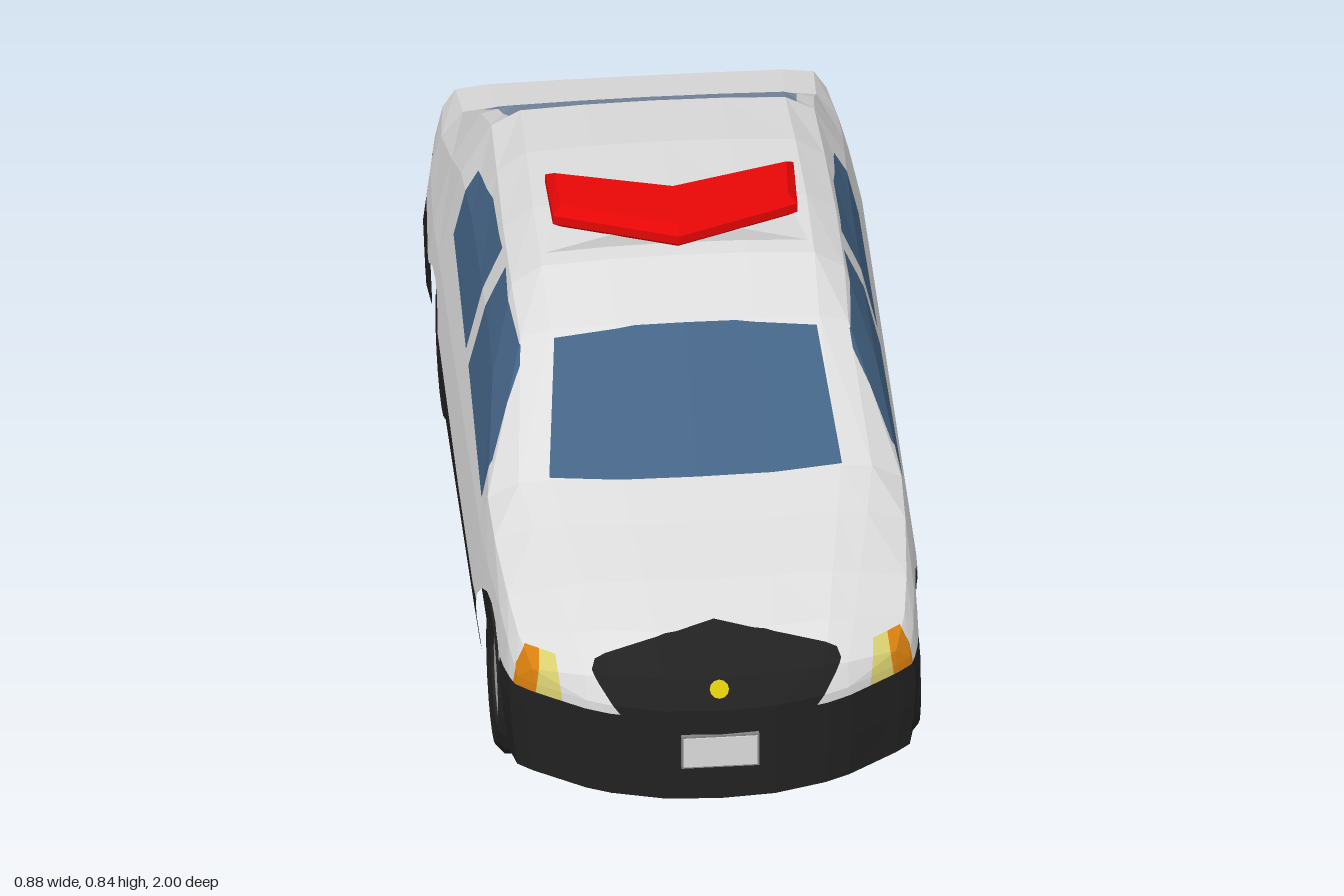
import * as THREE from 'three';

// Lengthwise stations, front to back:
// z, bow (how far the sides sweep back), width scale, sill y, shoulder x, y, edge x, y, centre y
const STATIONS = [
  [0.955, 0.14, 0.915, 0.11, 0.36, 0.35, 0.26, 0.365, 0.375],
  [0.87, 0.1, 0.945, 0.11, 0.383, 0.39, 0.28, 0.415, 0.43],
  [0.74, 0.05, 0.965, 0.11, 0.395, 0.415, 0.3, 0.445, 0.462],
  [0.58, 0.05, 0.99, 0.11, 0.407, 0.44, 0.33, 0.473, 0.488],
  [0.46, 0.05, 1, 0.11, 0.41, 0.455, 0.35, 0.497, 0.513],
  [0.2, 0.03, 1, 0.11, 0.38, 0.58, 0.325, 0.675, 0.705],
  [0.04, 0, 1, 0.11, 0.375, 0.6, 0.33, 0.705, 0.755],
  [-0.15, 0, 1, 0.115, 0.375, 0.6, 0.33, 0.71, 0.765],
  [-0.35, 0, 1, 0.115, 0.375, 0.6, 0.325, 0.705, 0.757],
  [-0.53, 0, 1, 0.125, 0.38, 0.58, 0.32, 0.69, 0.73],
  [-0.65, 0, 1, 0.14, 0.388, 0.53, 0.33, 0.635, 0.655],
  [-0.83, 0, 0.975, 0.16, 0.393, 0.46, 0.35, 0.515, 0.525],
  [-0.945, 0, 0.93, 0.175, 0.38, 0.45, 0.355, 0.49, 0.5],
];
const FRONT_AXLE = [0.615, 0.166], REAR_AXLE = [-0.53, 0.154];

const sweep = (z, bow, x) => z - bow * Math.pow(x / 0.42, 2.5);

// Half cross-section from the sill up to the centre line
function section([z, bow, w, sill, sx, sy, ex, ey, top]) {
  return [
    [0.425 * w, sill], [0.437 * w, 0.2], [0.44 * w, 0.26], [0.425 * w, Math.min(0.38, sy - 0.03)],
    [sx, sy], [ex, ey], [ex * 0.82, top - (top - ey) * 0.2], [ex * 0.42, top - (top - ey) * 0.05], [0, top],
  ].map(([x, y]) => new THREE.Vector3(x, y, sweep(z, bow, x)));
}

// Wheel arch outline, open towards the ground
function arch([z, y]) {
  const pts = [[z + 0.168, -0.1]];
  for (let i = 0; i <= 10; i++) {
    const a = (i / 10) * Math.PI;
    pts.push([z + 0.17 * Math.cos(a), y + 0.006 + 0.17 * Math.sin(a)]);
  }
  return [...pts, [z - 0.168, -0.1]];
}

// Convex areas of the half shell, projected along one axis; part null is an opening
const nose = (n, c) => c.z > 0.7;
const tail = (n, c) => c.z < -0.9 && n.z < -0.5;
const side = (n) => n.x > 0.4;
const any = () => true;
const REGIONS = [
  [null, 'zy', any, arch(FRONT_AXLE)],
  [null, 'zy', any, arch(REAR_AXLE)],
  ['frontSideWindow', 'zy', side, [[0.355, 0.415], [0.35, 0.5], [0.21, 0.665], [-0.035, 0.695], [-0.045, 0.455]]],
  ['rearSideWindow', 'zy', side, [[-0.1, 0.455], [-0.1, 0.695], [-0.29, 0.68], [-0.455, 0.635], [-0.455, 0.485]]],
  ['windscreen', 'xy', (n, c) => n.z > 0.3 && c.z < 0.6, [[-0.1, 0.512], [0.29, 0.512], [0.26, 0.687], [0.1, 0.703], [-0.1, 0.706]]],
  ['rearWindow', 'xz', (n) => n.y > 0.4, [[-0.1, -0.53], [0.285, -0.535], [0.31, -0.805], [-0.1, -0.805]]],
  ['grille', 'xy', nose, [[-0.1, 0.3], [0.195, 0.3], [0.235, 0.355], [0.247, 0.375], [0.24, 0.39], [0.22, 0.4], [0.1, 0.427], [0, 0.437], [-0.1, 0.437]]],
  ['headlight', 'xy', nose, [[0.305, 0.3], [0.355, 0.3], [0.345, 0.38], [0.315, 0.38]]],
  ['turnSignal', 'xy', nose, [[0.355, 0.3], [0.396, 0.3], [0.39, 0.34], [0.372, 0.38], [0.345, 0.38]]],
  ['tailLampLower', 'xy', tail, [[0.29, 0.335], [0.358, 0.335], [0.355, 0.41], [0.318, 0.4]]],
  ['tailLamp', 'xy', tail, [[0.24, 0.335], [0.372, 0.335], [0.368, 0.42], [0.358, 0.458], [0.3, 0.45], [0.255, 0.4]]],
  ['frontBumper', 'zy', any, [[0.74, 0], [0.74, 0.3], [1.2, 0.3], [1.2, 0]]],
  ['sillPanel', 'zy', any, [[0.5, 0], [0.5, 0.243], [-0.45, 0.283], [-0.45, 0]]],
  ['rearQuarterLower', 'zy', any, [[-0.62, 0], [-0.62, 0.295], [-1.1, 0.342], [-1.1, 0]]],
];

// Splits a polygon by a signed distance function
function cut(poly, dist) {
  const inside = [], outside = [];
  poly.forEach((p, i) => {
    const q = poly[(i + 1) % poly.length], a = dist(p), b = dist(q);
    if (a >= 0) inside.push(p);
    if (a <= 0) outside.push(p);
    if (a * b < 0) {
      const m = p.clone().lerp(q, a / (a - b));
      inside.push(m);
      outside.push(m);
    }
  });
  return [inside, outside];
}

// Divides one triangle among the regions and stores the pieces, mirrored, by part
function paint(a, b, c, parts) {
  const n = b.clone().sub(a).cross(c.clone().sub(a));
  if (n.length() < 1e-8) return;
  n.normalize();
  const mid = a.clone().add(b).add(c).divideScalar(3);
  const emit = (poly, part) => {
    if (!part) return;
    const out = (parts[part] ??= []);
    for (let i = 1; i < poly.length - 1; i++) {
      const t = [poly[0], poly[i], poly[i + 1]];
      for (const p of t) out.push(p.x, p.y, p.z);
      for (const p of t.reverse()) out.push(-p.x, p.y, p.z);
    }
  };
  let rest = [[a, b, c]];
  for (const [part, [u, v], when, pts] of REGIONS) {
    if (!when(n, mid)) continue;
    const sign = THREE.ShapeUtils.area(pts.map(([x, y]) => new THREE.Vector2(x, y))) > 0 ? 1 : -1;
    const next = [];
    for (const poly of rest) {
      let inner = poly;
      const pieces = [];
      for (let i = 0; i < pts.length && inner.length > 2; i++) {
        const [p, q] = [pts[i], pts[(i + 1) % pts.length]];
        const [inn, out] = cut(inner, (k) => sign * ((q[0] - p[0]) * (k[v] - p[1]) - (q[1] - p[1]) * (k[u] - p[0])));
        inner = inn;
        if (out.length > 2) pieces.push(out);
      }
      if (inner.length > 2) {
        emit(inner, part);
        next.push(...pieces);
      } else next.push(poly);
    }
    rest = next;
  }
  rest.forEach((poly) => emit(poly, 'bodyShell'));
}

function shellParts() {
  const parts = {};
  const quad = (a, b, c, d) => { paint(a, b, c, parts); paint(a, c, d, parts); };
  const rings = STATIONS.map(section);
  const last = rings[0].length - 1;
  for (let i = 0; i < rings.length - 1; i++)
    for (let j = 0; j < last; j++) quad(rings[i][j], rings[i + 1][j], rings[i + 1][j + 1], rings[i][j + 1]);
  // End faces: columns dropped from the upper rim, bulging along z
  const cap = (k, bulge, front) => {
    const ring = rings[k], [z, bow] = STATIONS[k];
    const at = (r, j) => {
      if (r === 4) return ring[j];
      const f = ring[j].x / ring[3].x, x = ring[r].x * f;
      return new THREE.Vector3(x, ring[r].y, sweep(z, bow, x) + bulge * (1 - f * f));
    };
    for (let r = 0; r < 4; r++)
      for (let j = 3; j < last; j++) {
        const q = [at(r, j), at(r, j + 1), at(r + 1, j + 1), at(r + 1, j)];
        quad(...(front ? q.reverse() : q));
      }
  };
  cap(0, 0.038, true);
  cap(rings.length - 1, -0.025, false);
  return parts;
}

export function createModel() {
  const car = new THREE.Group();
  car.name = 'patrolCar';
  const mat = {};
  for (const [name, color] of Object.entries({
    white: 0xdddddd, black: 0x212121, glassBlue: 0x446486, rearGlass: 0x8295ad, red: 0xe60606,
    orange: 0xd9800f, paleYellow: 0xd9d070, yellow: 0xd6c60c, grey: 0x858585, plateGrey: 0xdadada,
  })) {
    mat[name] = new THREE.MeshStandardMaterial({ color, side: THREE.DoubleSide });
    mat[name].name = name;
  }
  const add = (name, geo, m, x = 0, y = 0, z = 0, parent = car) => {
    const mesh = new THREE.Mesh(geo, mat[m]);
    mesh.name = name;
    mesh.position.set(x, y, z);
    parent.add(mesh);
    return mesh;
  };
  const box = (w, h, d) => new THREE.BoxGeometry(w, h, d);
  const extrude = (pts, depth, bevel = { bevelEnabled: false }) =>
    new THREE.ExtrudeGeometry(new THREE.Shape(pts.map(([x, y]) => new THREE.Vector2(x, y))), { depth, ...bevel });
  const faceted = (geo) => {
    const g = geo.index ? geo.toNonIndexed() : geo;
    g.computeVertexNormals();
    return g;
  };

  // Body shell and its painted areas
  const colours = {
    bodyShell: 'white', frontSideWindow: 'glassBlue', rearSideWindow: 'glassBlue', windscreen: 'glassBlue',
    rearWindow: 'rearGlass', headlight: 'paleYellow', turnSignal: 'orange', tailLamp: 'orange', tailLampLower: 'yellow',
  };
  for (const [name, data] of Object.entries(shellParts())) {
    const geo = new THREE.BufferGeometry();
    geo.setAttribute('position', new THREE.Float32BufferAttribute(data, 3));
    add(name, faceted(geo), colours[name] ?? 'black');
  }

  // Rear bumper with tapered ends, plates and nose badge
  const bumperPlan = [[-0.402, 0.94], [0.402, 0.94], [0.394, 0.975], [0.36, 0.99], [-0.36, 0.99], [-0.394, 0.975]];
  add('rearBumper', extrude(bumperPlan, 0.158).rotateX(-Math.PI / 2), 'black', 0, 0.178, 0);
  for (const [end, w, h, y, z] of [['front', 0.146, 0.068, 0.225, 0.989], ['rear', 0.23, 0.1, 0.245, -0.989]]) {
    add(end + 'PlateFrame', box(w + 0.008, h + 0.008, 0.014), 'grey', 0, y, z);
    add(end + 'Plate', box(w, h, 0.004), 'plateGrey', 0, y, z + Math.sign(z) * 0.007);
  }
  add('noseBadge', new THREE.CylinderGeometry(0.019, 0.019, 0.01, 12), 'yellow', 0, 0.356, 0.97).rotation.x = 0.95;

  // Roof light bar: a bevelled chevron on a low, wide mount
  const chevron = [[0, -0.04], [0.225, 0.04], [0.23, 0.14], [0, 0.08], [-0.23, 0.14], [-0.225, 0.04]];
  const bar = extrude(chevron, 0.02, { bevelThickness: 0.018, bevelSize: 0.018, bevelSegments: 1 });
  add('lightBar', bar.rotateX(-Math.PI / 2), 'red', 0, 0.796, 0).rotation.x = 0.06;
  add('lightBarMount', extrude([[-0.27, 0.745], [0.27, 0.745], [0.13, 0.783], [-0.13, 0.783]], 0.1), 'white', 0, 0, -0.1);

  // Wheels: tyre, rim ring, hub and three spokes
  const ring = (pts) => faceted(new THREE.LatheGeometry(pts.map(([r, y]) => new THREE.Vector2(r, y)), 20).rotateZ(Math.PI / 2));
  const tyre = ring([[0.1, -0.045], [0.135, -0.052], [0.154, -0.035], [0.154, 0.035], [0.135, 0.052], [0.1, 0.045], [0.1, -0.045]]);
  const rim = ring([[0.092, -0.04], [0.101, -0.04], [0.101, 0.04], [0.092, 0.04], [0.092, -0.04]]);
  const hub = new THREE.CylinderGeometry(0.024, 0.024, 0.03, 10).rotateZ(Math.PI / 2);
  const spoke = box(0.018, 0.095, 0.026).translate(0, 0.0475, 0);
  for (const s of [1, -1])
    for (const [end, [z, y]] of [['front', FRONT_AXLE], ['rear', REAR_AXLE]]) {
      const wheel = new THREE.Group();
      wheel.name = end + (s > 0 ? 'Left' : 'Right') + 'Wheel';
      wheel.position.set(s * 0.367, y, z);
      car.add(wheel);
      add('tyre', tyre, 'black', 0, 0, 0, wheel);
      add('rim', rim, 'grey', 0, 0, 0, wheel);
      add('hub', hub, 'grey', s * 0.015, 0, 0, wheel);
      for (let i = 0; i < 3; i++) add('spoke', spoke, 'grey', s * 0.015, 0, 0, wheel).rotation.x = (i * Math.PI * 2) / 3;
    }

  // Cabin: four seats and the front door linings
  for (const s of [1, -1]) {
    for (const [row, z] of [['front', 0.04], ['rear', -0.4]]) {
      add(row + 'SeatCushion', box(0.26, 0.1, 0.26), 'black', s * 0.18, 0.38, z);
      add(row + 'SeatBack', box(0.26, 0.2, 0.06), 'black', s * 0.18, 0.52, z - 0.1);
    }
    add('doorLining', box(0.01, 0.27, 0.43), 'black', s * 0.402, 0.255, 0.215);
  }
  return car;
}
